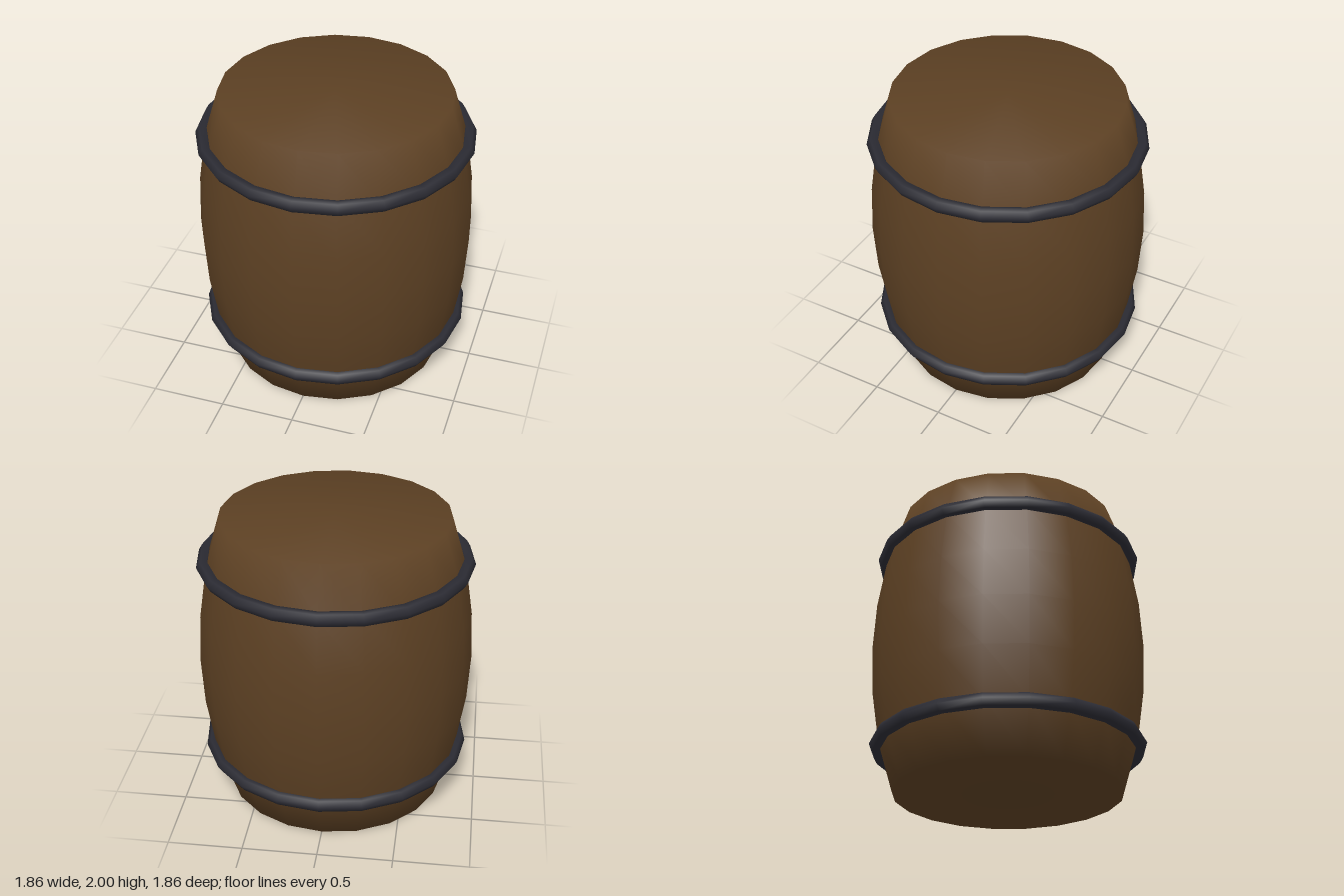
import * as THREE from 'three';

const SIDES = 20;

export function createModel() {
  const model = new THREE.Group();
  model.name = 'barrel';

  const wood = new THREE.MeshStandardMaterial({ color: 0x5c4023 });
  wood.name = 'brown wood';
  const iron = new THREE.MeshStandardMaterial({ color: 0x2b2b33 });
  iron.name = 'dark iron';

  // Bulging body with closed ends, smooth over the rims
  const profile = [
    [0, 0], [0.76, 0], [0.86, 0.33], [0.913, 0.67], [0.93, 1],
    [0.913, 1.33], [0.86, 1.67], [0.76, 2], [0, 2],
  ].map(([r, y]) => new THREE.Vector2(r, y));
  const body = new THREE.Mesh(new THREE.LatheGeometry(profile, SIDES), wood);
  body.name = 'body';
  model.add(body);

  // Two hoops, mirrored about the middle
  const hoopGeometry = new THREE.TorusGeometry(0.873, 0.047, 6, SIDES).rotateX(Math.PI / 2);
  for (const [name, y] of [['lowerHoop', 0.313], ['upperHoop', 1.69]]) {
    const hoop = new THREE.Mesh(hoopGeometry, iron);
    hoop.name = name;
    hoop.position.y = y;
    model.add(hoop);
  }

  return model;
}
